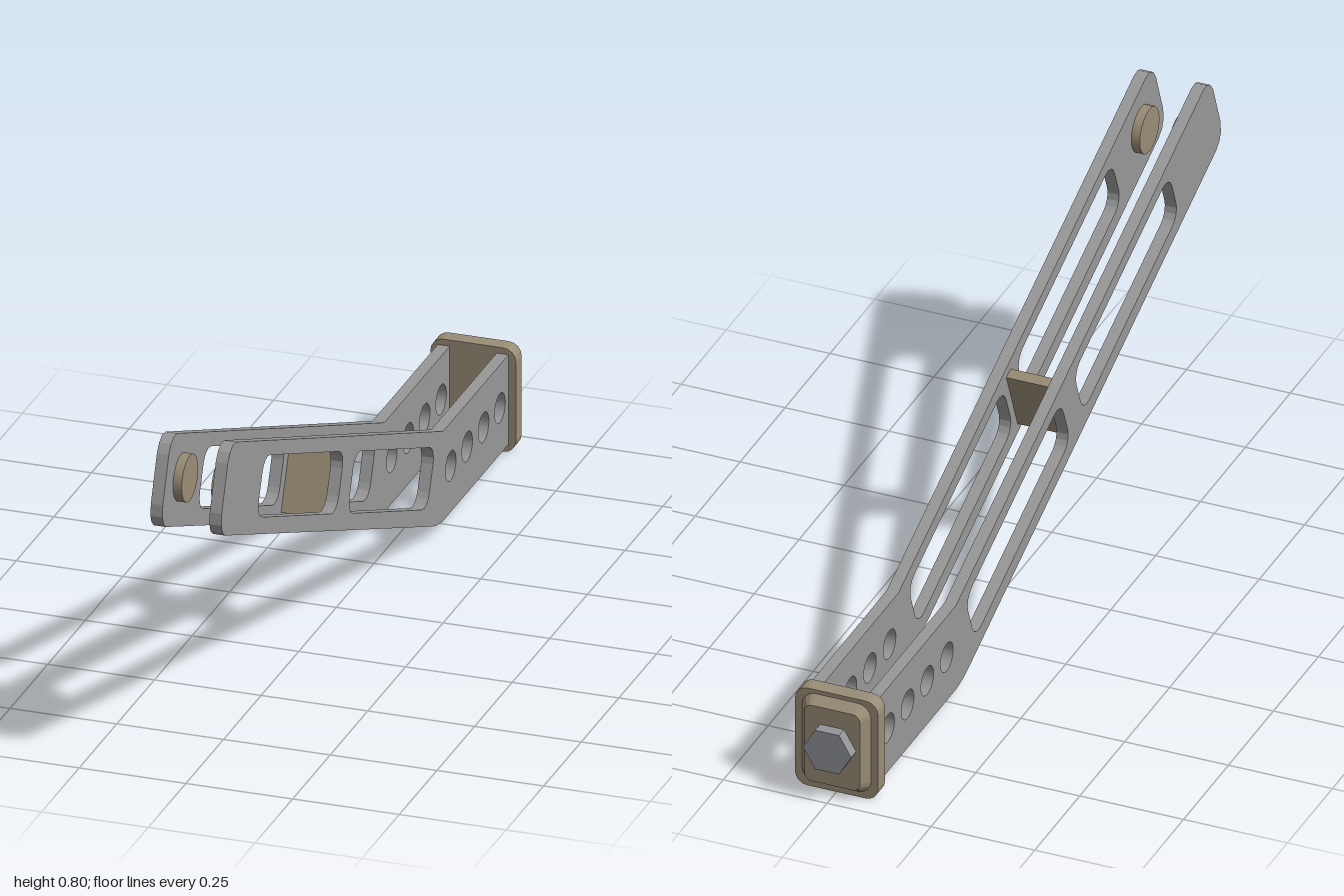
import * as THREE from 'three';

const grey = new THREE.MeshStandardMaterial({ color: 0x989898 });
grey.name = 'plate grey';
const tan = new THREE.MeshStandardMaterial({ color: 0x998d76 });
tan.name = 'fitting tan';
const steel = new THREE.MeshStandardMaterial({ color: 0x929498 });
steel.name = 'bolt steel';

const TILT = Math.atan(0.409); // slope of the long arm
const AXIS_Y = 0.13; // height of the hole row and bolt

function addMesh(parent, name, geometry, material, x = 0, y = 0, z = 0) {
  const mesh = new THREE.Mesh(geometry, material);
  mesh.name = name;
  mesh.position.set(x, y, z);
  parent.add(mesh);
  return mesh;
}

// Rounded rectangle points around a centre, turned by an angle
function roundedRect(w, h, r, cx = 0, cy = 0, angle = 0, steps = 4) {
  const points = [];
  const centre = new THREE.Vector2(cx, cy);
  [[1, 1], [-1, 1], [-1, -1], [1, -1]].forEach(([sx, sy], corner) => {
    for (let i = 0; i <= steps; i++) {
      const a = (corner + i / steps) * Math.PI / 2;
      const p = new THREE.Vector2(
        cx + sx * (w / 2 - r) + r * Math.cos(a),
        cy + sy * (h / 2 - r) + r * Math.sin(a));
      points.push(p.rotateAround(centre, angle));
    }
  });
  return points;
}

// Bent side plate, drawn in (z, y) with two slots and a row of holes
function sidePlateGeometry() {
  const outline = [
    [-0.92, 0.02], [-0.47, 0.02], [-0.43, 0.027], [-0.395, 0.04],
    [0.975, 0.603], [0.992, 0.617], [1, 0.637], [0.997, 0.665],
    [0.957, 0.77], [0.942, 0.79], [0.922, 0.8], [0.9, 0.798],
    [-0.475, 0.237], [-0.92, 0.237],
  ].map(([z, y]) => new THREE.Vector2(z, y));
  const shape = new THREE.Shape(outline);
  for (const [z, y] of [[0.473, 0.513], [-0.13, 0.265]]) {
    shape.holes.push(new THREE.Path(roundedRect(0.573, 0.139, 0.038, z, y, TILT)));
  }
  for (let i = 0; i < 4; i++) {
    shape.holes.push(new THREE.Path().absarc(-0.525 - i * 0.109, AXIS_Y + 0.002, 0.035, 0, Math.PI * 2, true));
  }
  const geometry = new THREE.ExtrudeGeometry(shape, { depth: 0.028, bevelEnabled: false, curveSegments: 20 });
  geometry.translate(0, 0, -0.014);
  geometry.rotateY(-Math.PI / 2);
  return geometry;
}

export function createModel() {
  const model = new THREE.Group();
  model.name = 'bracketArm';

  // Paired side plates with a round boss inside each tip
  const plate = sidePlateGeometry();
  const boss = new THREE.CylinderGeometry(0.055, 0.055, 0.022, 20);
  boss.rotateZ(Math.PI / 2);
  for (const [side, s] of [['left', 1], ['right', -1]]) {
    addMesh(model, side + 'SidePlate', plate, grey, s * 0.069, 0, 0);
    addMesh(model, side + 'Boss', boss, tan, s * 0.0455, 0.682, 0.875);
  }

  // Cross web standing square to the arm between the slots
  const web = addMesh(model, 'crossWeb', new THREE.BoxGeometry(0.112, 0.168, 0.0255), tan, 0, 0.385, 0.168);
  web.rotation.x = -TILT;

  // End cap: rounded flange and a tapered raised pad
  const flange = new THREE.ExtrudeGeometry(new THREE.Shape(roundedRect(0.2, 0.252, 0.03)),
    { depth: 0.038, bevelEnabled: false });
  addMesh(model, 'endFlange', flange, tan, 0, 0.126, -0.947);
  const pad = new THREE.ExtrudeGeometry(new THREE.Shape(roundedRect(0.134, 0.196, 0.018)),
    { depth: 0.002, bevelThickness: 0.024, bevelSize: 0.016, bevelSegments: 1 });
  addMesh(model, 'endPad', pad, tan, 0, 0.128, -0.948);

  // Hexagonal bolt head
  const bolt = new THREE.CylinderGeometry(0.058, 0.058, 0.04, 6).toNonIndexed();
  bolt.rotateY(Math.PI / 6 * 3);
  bolt.rotateX(Math.PI / 2);
  bolt.computeVertexNormals();
  addMesh(model, 'boltHead', bolt, steel, 0, AXIS_Y + 0.002, -0.98);

  return model;
}
